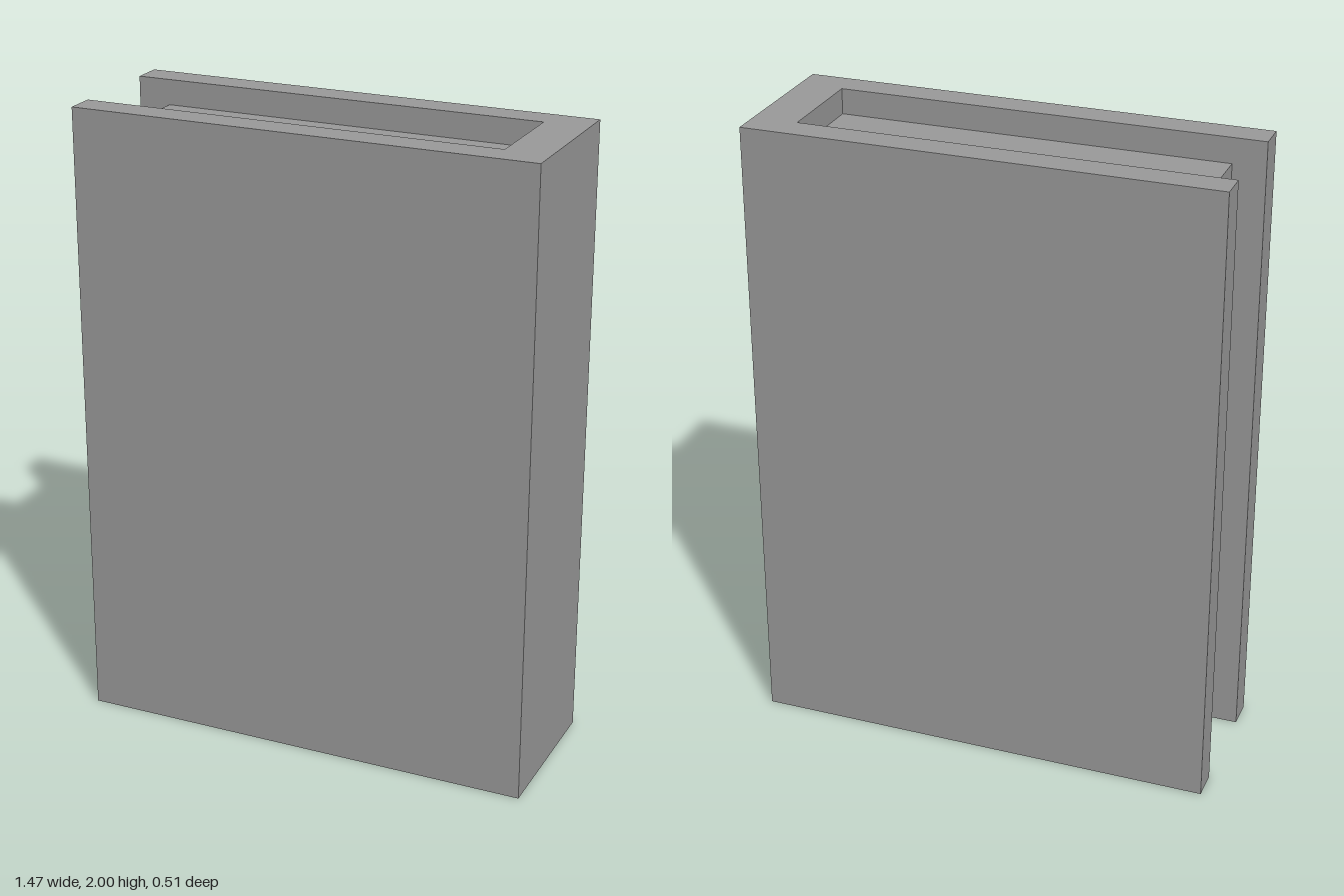
import * as THREE from 'three';

export function createModel() {
  const group = new THREE.Group();
  group.name = 'book';
  const material = new THREE.MeshStandardMaterial({ color: 0x9b9b9b, flatShading: true });

  const width = 1.47, height = 2, depth = 0.51;
  const board = 0.095, spine = 0.14;    // cover thicknesses
  const foreInset = 0.103, endInset = 0.08; // how far the pages sit back
  const X = width / 2, Z = depth / 2, inner = Z - board;

  // Cover: a C-shaped section (two boards and the spine) extruded upward
  const section = new THREE.Shape([
    [-X, -Z], [X, -Z], [X, Z], [-X, Z],
    [-X, inner], [X - spine, inner], [X - spine, -inner], [-X, -inner],
  ].map(([x, y]) => new THREE.Vector2(x, y)));
  const coverGeometry = new THREE.ExtrudeGeometry(section, { depth: height, bevelEnabled: false });
  coverGeometry.rotateX(-Math.PI / 2);
  const cover = new THREE.Mesh(coverGeometry, material);
  cover.name = 'cover';
  group.add(cover);

  // Page block, recessed at the fore edge, top and bottom
  const pageWidth = width - spine - foreInset;
  const pages = new THREE.Mesh(
    new THREE.BoxGeometry(pageWidth, height - 2 * endInset, 2 * inner), material);
  pages.name = 'pages';
  pages.position.set(-X + foreInset + pageWidth / 2, height / 2, 0);
  group.add(pages);

  return group;
}
